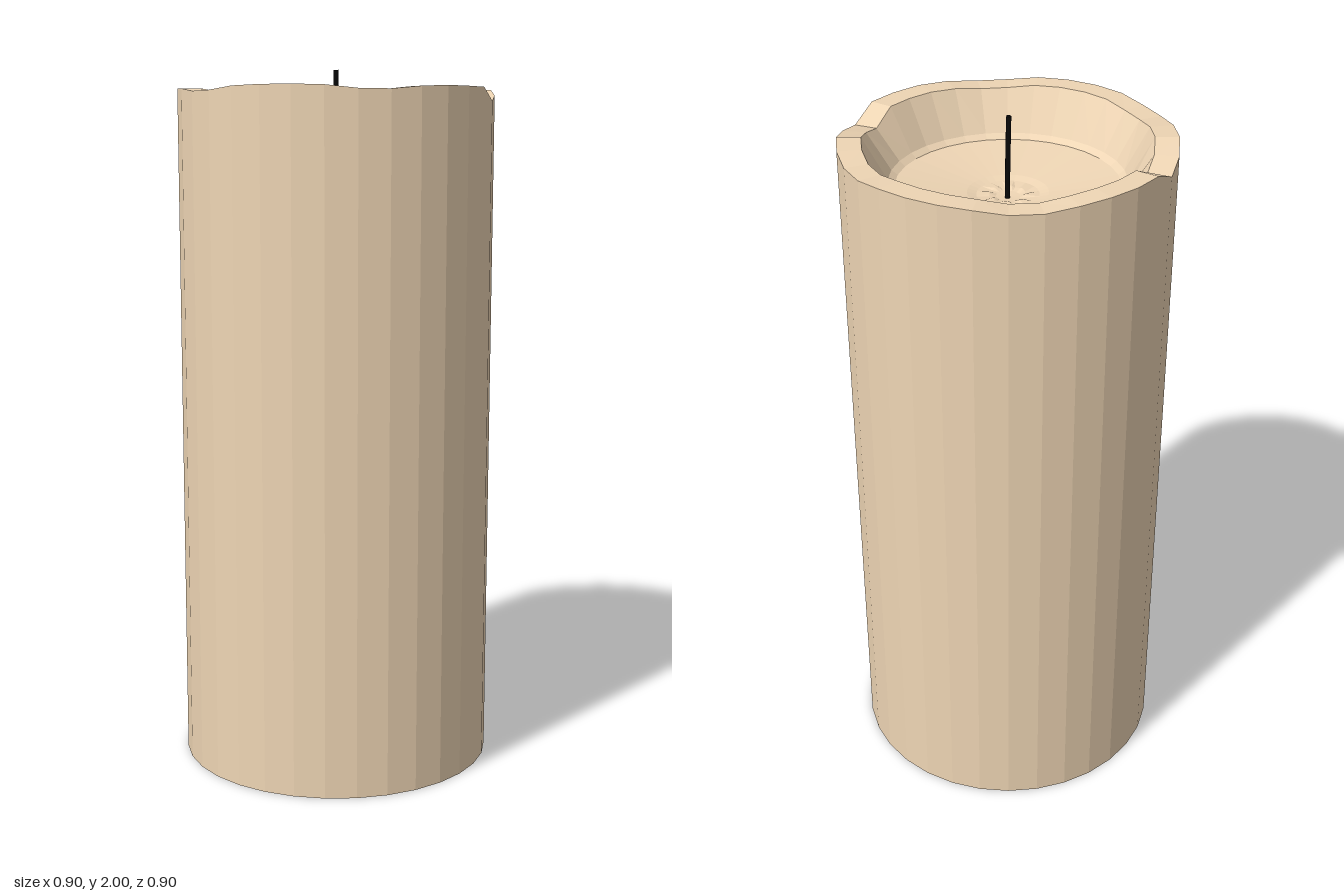
import * as THREE from 'three';

const SEGMENTS = 32;

// Melted dips in the rim: [angle from +x toward +z in degrees, depth, half width before, half width after];
// they repeat after half a turn.
const DIPS = [
  [11.25, 0.036, 22.5, 11.25],
  [73, 0.016, 22, 20],
  [141, 0.016, 20, 20],
];

function rimDip(x, z) {
  const deg = THREE.MathUtils.radToDeg(Math.atan2(z, x));
  let dip = 0;
  for (const [centre, depth, before, after] of DIPS) {
    const d = THREE.MathUtils.euclideanModulo(deg - centre + 90, 180) - 90;
    dip += depth * Math.max(0, 1 - Math.abs(d) / (d < 0 ? before : after));
  }
  return dip;
}

// Closed pillar with a hollow, slightly dished top
function makeWax() {
  const profile = [
    [0, 0], [0.45, 0], [0.45, 1.945], [0.385, 1.945], [0.32, 1.825], [0.303, 1.812],
    [0.11, 1.79], [0.085, 1.784], [0.05, 1.781], [0.032, 1.778], [0, 1.776],
  ].map(([r, y]) => new THREE.Vector2(r, y));
  const geometry = new THREE.LatheGeometry(profile, SEGMENTS);
  const p = geometry.attributes.position;
  const rows = profile.length;
  for (let i = 0; i < p.count; i++) {
    const row = i % rows;
    const column = Math.floor(i / rows) % SEGMENTS;
    // wavy rim
    if (row === 2 || row === 3) p.setY(i, p.getY(i) - rimDip(p.getX(i), p.getZ(i)));
    // crinkled wax around the wick
    if (row === 8 && column % 4 < 2) p.setY(i, p.getY(i) + 0.004);
  }
  geometry.computeVertexNormals();
  const wax = new THREE.Mesh(geometry, new THREE.MeshStandardMaterial({ color: 0xeed5b4, flatShading: true }));
  wax.name = 'waxBody';
  return wax;
}

// Thin wick leaning slightly forward
function makeWick() {
  const path = new THREE.CatmullRomCurve3([
    new THREE.Vector3(0, 1.77, -0.01),
    new THREE.Vector3(0, 1.88, -0.003),
    new THREE.Vector3(0, 1.999, 0.009),
  ]);
  const group = new THREE.Group();
  group.name = 'wick';
  const material = new THREE.MeshStandardMaterial({ color: 0x080808 });
  const stem = new THREE.Mesh(new THREE.TubeGeometry(path, 6, 0.007, 8), material);
  stem.name = 'wickStem';
  const tip = new THREE.Mesh(new THREE.CircleGeometry(0.007, 8).rotateX(-Math.PI / 2), material);
  tip.name = 'wickTip';
  tip.position.set(0, 1.9995, 0.009);
  group.add(stem, tip);
  return group;
}

export function createModel() {
  const model = new THREE.Group();
  model.name = 'candle';
  model.add(makeWax(), makeWick());
  return model;
}
